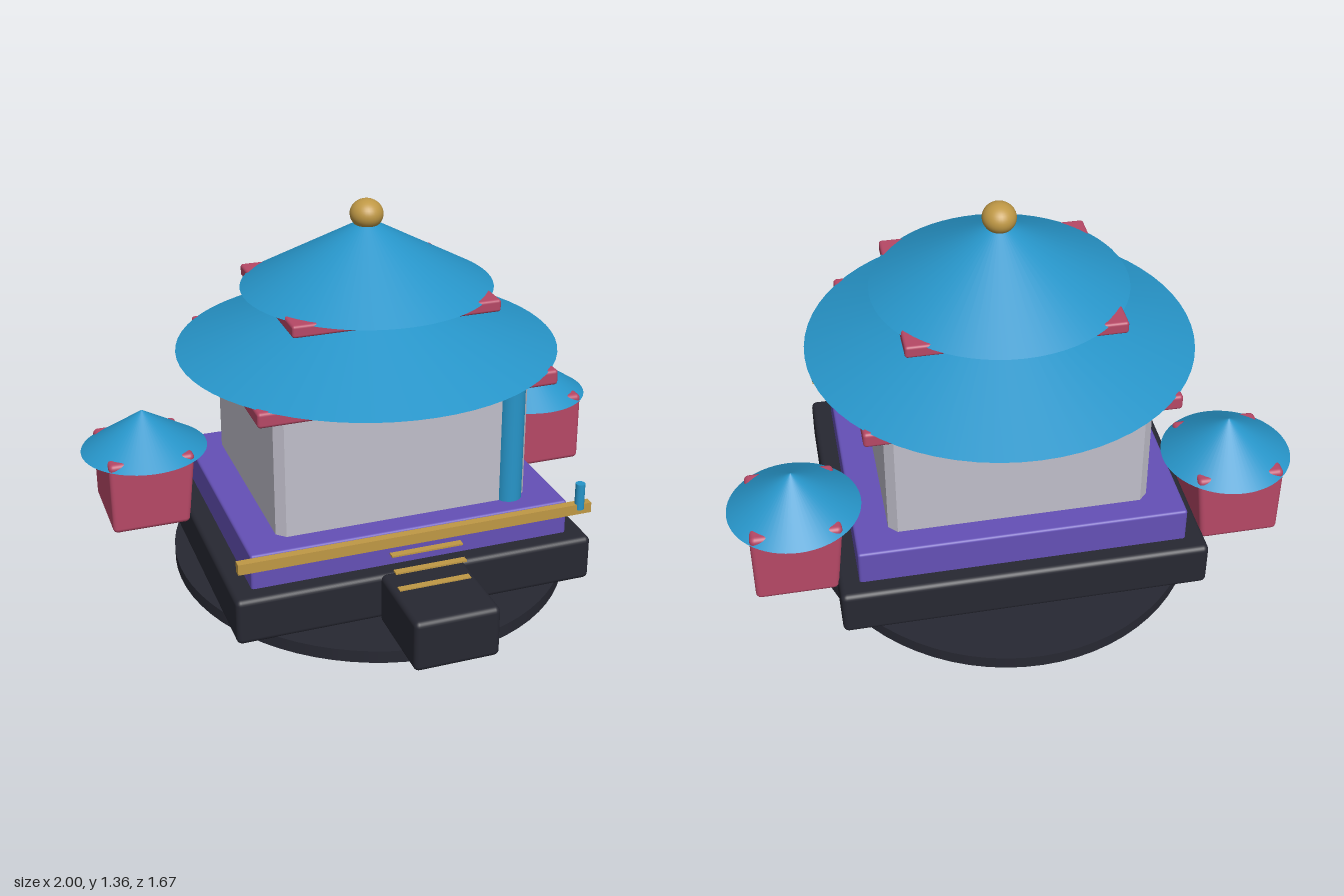
import * as THREE from 'three';
import { RoundedBoxGeometry } from 'three/addons/geometries/RoundedBoxGeometry.js';

const CZ = -0.055; // depth centre of the stacked building

function material(name, color) {
  const m = new THREE.MeshStandardMaterial({ color });
  m.name = name;
  return m;
}

export function createModel() {
  const model = new THREE.Group();
  model.name = 'pagoda';
  const stone = material('dark stone', 0x272832);
  const violet = material('violet', 0x6450b6);
  const plaster = material('pale plaster', 0xc0beca);
  const tile = material('blue tile', 0x2795c9);
  const rose = material('rose', 0xb64866);
  const gold = material('gold', 0xbf9845);

  function add(name, geometry, mat, x, y, z, parent = model) {
    const mesh = new THREE.Mesh(geometry, mat);
    mesh.name = name;
    mesh.position.set(x, y, z);
    parent.add(mesh);
    return mesh;
  }
  // Box given by its lowest and highest corners; r rounds its edges
  function block(name, mat, lo, hi, r = 0, parent = model) {
    const s = hi.map((v, i) => v - lo[i]);
    const c = hi.map((v, i) => (v + lo[i]) / 2);
    const geometry = r ? new RoundedBoxGeometry(...s, 3, r) : new THREE.BoxGeometry(...s);
    return add(name, geometry, mat, ...c, parent);
  }
  function roof(name, radius, y0, y1, x, z, parent = model) {
    return add(name, new THREE.ConeGeometry(radius, y1 - y0, 64), tile, x, (y0 + y1) / 2, z, parent);
  }

  // Ground disc, plinth and terrace
  add('groundDisc', new THREE.CylinderGeometry(1, 1, 0.045, 72), stone, 0, 0.0225, CZ).scale.set(0.715, 1, 0.78);
  block('plinth', stone, [-0.647, 0.038, -0.6], [0.647, 0.206, 0.495], 0.02);
  block('terrace', violet, [-0.577, 0.19, -0.535], [0.577, 0.332, 0.43], 0.01);

  // Front stoop and thin floating steps
  block('frontStoop', stone, [-0.15, 0.038, 0.502], [0.15, 0.223, 0.835], 0.02);
  for (let i = 0; i < 3; i++) {
    const y = 0.224 + i * 0.044, z = 0.608 - i * 0.038;
    block('stepTrim', gold, [-0.127, y - 0.003, z], [0.127, y + 0.003, z + 0.025]);
  }

  // Hall with chamfered corners
  const w = 0.458, d = 0.395, c = 0.03;
  const plan = new THREE.Shape([
    [-w + c, -d], [w - c, -d], [w, -d + c], [w, d - c],
    [w - c, d], [-w + c, d], [-w, d - c], [-w, -d + c],
  ].map(([x, y]) => new THREE.Vector2(x, y)));
  const hall = new THREE.ExtrudeGeometry(plan, { depth: 0.46, bevelEnabled: false });
  hall.rotateX(-Math.PI / 2);
  add('hallWalls', hall, plaster, 0, 0.325, -0.05);
  add('frontColumn', new THREE.CylinderGeometry(0.048, 0.048, 0.44, 32), tile, 0.395, 0.545, 0.324);

  // Front rail and its post
  block('frontRail', gold, [-0.637, 0.31, 0.467], [0.637, 0.348, 0.497]);
  add('railPost', new THREE.CylinderGeometry(0.017, 0.017, 0.098, 24), tile, 0.595, 0.377, 0.487);

  // Two roof tiers, each with a square eave
  block('lowerEave', rose, [-0.53, 0.775, -0.512], [0.53, 0.83, 0.405], 0.012);
  roof('lowerRoof', 0.675, 0.828, 1.08, 0, -0.06);
  block('signBar', gold, [-0.3, 0.993, -0.078], [0.3, 1.018, -0.028]);
  block('upperEave', rose, [-0.369, 1.014, -0.382], [0.369, 1.058, 0.272], 0.01);
  roof('upperRoof', 0.443, 1.05, 1.293, 0, CZ);
  add('finial', new THREE.SphereGeometry(1, 32, 20), gold, 0, 1.304, CZ).scale.set(0.058, 0.052, 0.062);

  // Mirrored side pavilions, inner wall leaning outward toward its foot
  for (const side of [1, -1]) {
    const pavilion = new THREE.Group();
    pavilion.name = side > 0 ? 'leftPavilion' : 'rightPavilion';
    const body = block('pavilionBody', rose, [-0.152, 0.162, -0.172], [0.16, 0.436, 0.172], 0.018, pavilion);
    if (side < 0) body.position.x *= -1;
    const p = body.geometry.attributes.position;
    for (let i = 0; i < p.count; i++) {
      if (p.getX(i) * side < 0) p.setX(i, p.getX(i) + side * 0.03 * (0.5 - p.getY(i) / 0.274));
    }
    body.geometry.computeBoundingSphere();
    roof('pavilionRoof', 0.23, 0.41, 0.56, 0, 0, pavilion);
    pavilion.position.set(side * 0.768, 0, -0.335);
    model.add(pavilion);
  }
  return model;
}
